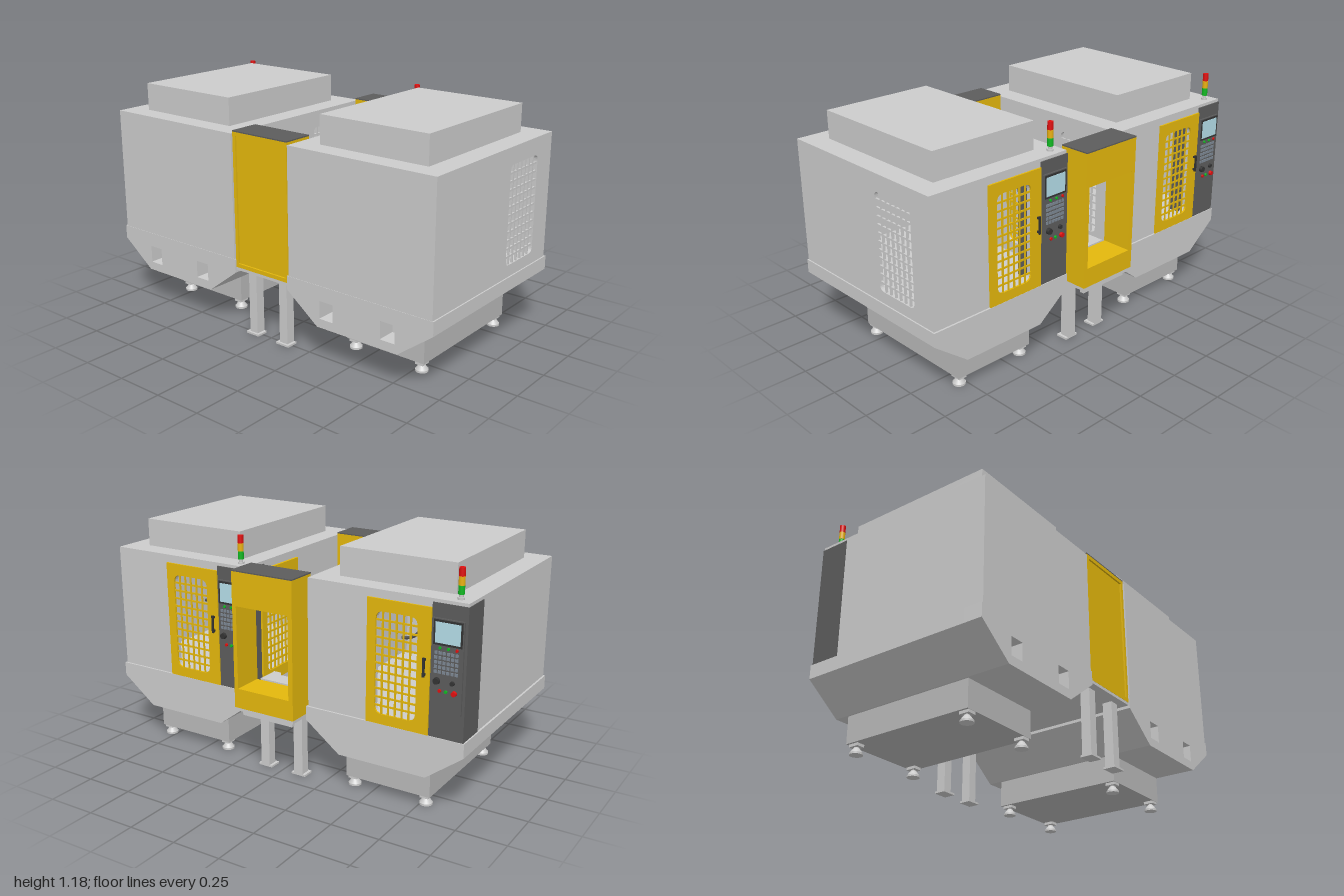
import * as THREE from 'three';

const paint = (color) => new THREE.MeshStandardMaterial({ color });
const grey = paint(0xcccccc), yellow = paint(0xe3b70c), dark = paint(0x5c5c5c), black = paint(0x333333);
const red = paint(0xe01010), green = paint(0x10b822), amber = paint(0xe8b010), glass = paint(0xb4dde8), keyBlue = paint(0x7d8894);

function add(parent, name, geo, mat) {
  const m = new THREE.Mesh(geo, mat);
  m.name = name;
  parent.add(m);
  return m;
}
// Box given by its extents
function box(parent, name, mat, x0, x1, y0, y1, z0, z1) {
  const m = add(parent, name, new THREE.BoxGeometry(x1 - x0, y1 - y0, z1 - z0), mat);
  m.position.set((x0 + x1) / 2, (y0 + y1) / 2, (z0 + z1) / 2);
  return m;
}
// Cylinder or cone between two points
function rod(parent, name, mat, a, b, r0, r1 = r0, sides = 24) {
  const p = new THREE.Vector3(...a), q = new THREE.Vector3(...b), d = q.clone().sub(p);
  const m = add(parent, name, new THREE.CylinderGeometry(r1, r0, d.length(), sides), mat);
  m.position.copy(p).add(q).multiplyScalar(0.5);
  m.quaternion.setFromUnitVectors(new THREE.Vector3(0, 1, 0), d.normalize());
  return m;
}
function roundRect(path, x0, x1, y0, y1, r) {
  path.moveTo(x0 + r, y0).lineTo(x1 - r, y0).quadraticCurveTo(x1, y0, x1, y0 + r)
    .lineTo(x1, y1 - r).quadraticCurveTo(x1, y1, x1 - r, y1)
    .lineTo(x0 + r, y1).quadraticCurveTo(x0, y1, x0, y1 - r)
    .lineTo(x0, y0 + r).quadraticCurveTo(x0, y0, x0 + r, y0);
  return path;
}
function rectShape(x0, x1, y0, y1) {
  return new THREE.Shape([[x0, y0], [x1, y0], [x1, y1], [x0, y1]].map((p) => new THREE.Vector2(...p)));
}
const extrude = (shape, depth) => new THREE.ExtrudeGeometry(shape, { depth, bevelEnabled: false, curveSegments: 6 });

// Upright plate in local xy with a window opening and optional lattice
function windowPlate(parent, name, mat, [x0, x1, y0, y1], [a, b, c, d], depth, r, lattice) {
  const g = new THREE.Group();
  g.name = name;
  parent.add(g);
  const shape = rectShape(x0, x1, y0, y1);
  shape.holes.push(roundRect(new THREE.Path(), a, b, c, d, r));
  add(g, name + 'Plate', extrude(shape, depth), mat);
  if (lattice) {
    const nx = Math.round((b - a) / 0.036), ny = Math.round((d - c) / 0.04), t = 0.0045;
    for (let i = 1; i < nx; i++) {
      const x = a + (b - a) * i / nx;
      box(g, 'latticeUpright', mat, x - t, x + t, c, d, depth * 0.3, depth * 0.8);
    }
    for (let j = 1; j < ny; j++) {
      const y = c + (d - c) * j / ny;
      box(g, 'latticeRail', mat, a, b, y - t, y + t, depth * 0.3, depth * 0.8);
    }
  }
  return g;
}

// Operator console on the +x side
function console_(m) {
  box(m, 'consoleCabinet', dark, 0.285, 0.443, 0.4, 1.025, 0.177, 0.348);
  box(m, 'consolePanel', dark, 0.443, 0.452, 0.53, 0.96, 0.19, 0.34);
  box(m, 'screenBezel', black, 0.452, 0.454, 0.84, 0.955, 0.196, 0.334);
  box(m, 'screen', glass, 0.453, 0.456, 0.85, 0.945, 0.205, 0.325);
  for (let i = 0; i < 6; i++) for (let j = 0; j < 5; j++) {
    const z = 0.212 + i * 0.02, y = 0.71 + j * 0.022;
    box(m, 'key', keyBlue, 0.452, 0.456, y, y + 0.014, z, z + 0.014);
  }
  [[red, 0.225, 0.63, 0.013], [red, 0.295, 0.63, 0.008], [green, 0.265, 0.63, 0.008], [black, 0.31, 0.675, 0.016],
    [black, 0.235, 0.675, 0.011], [green, 0.3, 0.828, 0.007], [green, 0.26, 0.828, 0.007], [red, 0.22, 0.828, 0.007]]
    .forEach(([c, z, y, r]) => rod(m, 'button', c, [0.45, y, z], [0.452 + r, y, z], r, r * 0.9, 16));
}

// One machine tool, in the place of the front one
function machine(name, innerDoor) {
  const m = new THREE.Group();
  m.name = name;
  // Skirt with sloping flanks, fork pockets at the rear end
  const profile = () => new THREE.Shape([[-1, 0.4], [-1, 0.33], [-0.815, 0.19], [-0.355, 0.19], [-0.17, 0.33], [-0.17, 0.4]]
    .map((p) => new THREE.Vector2(...p)));
  const end = profile();
  for (const z of [-0.76, -0.41]) end.holes.push(roundRect(new THREE.Path(), z - 0.04, z + 0.04, 0.235, 0.325, 0.002));
  for (const [part, shape, x, depth] of [['skirt', profile(), -0.47, 0.917], ['skirtRearEnd', end, -0.567, 0.097]]) {
    const s = add(m, part, extrude(shape, depth), grey);
    s.rotation.y = Math.PI / 2;
    s.position.x = x;
  }
  // Pedestal and levelling feet
  box(m, 'pedestal', paint(0xb8b8b8), -0.345, 0.375, 0.052, 0.19, 0.362, 0.813);
  for (const x of [-0.315, 0.34]) for (const z of [0.395, 0.783]) {
    rod(m, 'footDisc', grey, [x, 0, z], [x, 0.01, z], 0.032);
    rod(m, 'footCone', grey, [x, 0.01, z], [x, 0.034, z], 0.031, 0.014);
    rod(m, 'footStud', grey, [x, 0.03, z], [x, 0.054, z], 0.011);
    box(m, 'footPad', grey, x - 0.027, x + 0.027, 0.038, 0.054, z - 0.022, z + 0.022);
  }
  // Hollow enclosure
  const opening = [0.05, 0.305, 0.46, 0.953];
  windowPlate(m, 'frontWall', grey, [-0.565, 0.437, 0.4, 1.04], opening, 0.02, 0.03, true).position.z = 0.973;
  if (innerDoor) {
    windowPlate(m, 'innerWall', grey, [-0.565, 0.437, 0.4, 1.04], [0.045, 0.28, 0.46, 0.953], 0.02, 0.03, false).position.z = 0.18;
    windowPlate(m, 'innerDoor', yellow, [0, 0.322, 0.4, 1.0], [0.045, 0.28, 0.46, 0.953], 0.013, 0.03, true).position.z = 0.167;
  } else box(m, 'innerWall', grey, -0.565, 0.437, 0.4, 1.04, 0.18, 0.2);
  const side = windowPlate(m, 'sideWall', grey, [-0.973, -0.2, 0.4, 1.04], [-0.625, -0.415, 0.45, 0.943], 0.02, 0.04, false);
  const door = windowPlate(m, 'sideDoor', yellow, [-0.67, -0.35, 0.4, 1.0], [-0.625, -0.415, 0.45, 0.943], 0.01, 0.04, true);
  side.rotation.y = door.rotation.y = Math.PI / 2;
  side.position.x = 0.417;
  door.position.x = 0.436;
  box(m, 'rearWall', grey, -0.565, -0.545, 0.4, 1.04, 0.2, 0.973);
  box(m, 'roof', grey, -0.545, 0.417, 1.02, 1.04, 0.2, 0.973);
  box(m, 'roofHousing', grey, -0.46, 0.33, 1.04, 1.182, 0.288, 0.882);
  // Door handle
  box(m, 'doorHandle', black, 0.456, 0.464, 0.68, 0.77, 0.369, 0.379);
  for (const y of [0.69, 0.76]) box(m, 'handlePost', black, 0.444, 0.458, y - 0.005, y + 0.005, 0.369, 0.379);
  console_(m);
  // Coolant hose inside
  const hose = new THREE.QuadraticBezierCurve3(new THREE.Vector3(0.3, 1.02, 0.44), new THREE.Vector3(0.28, 0.78, 0.44), new THREE.Vector3(0.23, 0.76, 0.6));
  add(m, 'coolantHose', new THREE.TubeGeometry(hose, 20, 0.008, 8), dark);
  // Signal tower
  rod(m, 'signalBase', grey, [0.39, 1.04, 0.24], [0.39, 1.05, 0.24], 0.016);
  rod(m, 'signalPost', grey, [0.39, 1.05, 0.24], [0.39, 1.064, 0.24], 0.01);
  [green, amber, red].forEach((c, i) => rod(m, 'signalLamp', c, [0.39, 1.063 + i * 0.04, 0.24], [0.39, 1.102 + i * 0.04, 0.24], 0.0145));
  return m;
}

// Jointed handling arm
function robot() {
  const r = new THREE.Group();
  r.name = 'robotArm';
  box(r, 'riser', grey, -0.08, 0.06, 0.36, 0.465, -0.06, 0.06);
  box(r, 'base', grey, -0.095, 0.05, 0.465, 0.505, -0.068, 0.068);
  rod(r, 'waist', grey, [-0.015, 0.505, 0], [-0.015, 0.56, 0], 0.062, 0.045);
  rod(r, 'turret', grey, [-0.015, 0.56, 0], [-0.015, 0.6, 0], 0.05);
  rod(r, 'shoulder', grey, [-0.01, 0.62, -0.068], [-0.01, 0.62, 0.068], 0.045);
  rod(r, 'upperArm', grey, [-0.01, 0.62, 0], [-0.015, 0.76, 0], 0.038, 0.033);
  rod(r, 'elbow', grey, [-0.015, 0.765, -0.052], [-0.015, 0.765, 0.052], 0.045);
  rod(r, 'forearm', grey, [-0.03, 0.785, 0], [0.15, 0.785, 0], 0.036, 0.027);
  rod(r, 'wrist', grey, [0.165, 0.785, -0.033], [0.165, 0.785, 0.033], 0.03);
  rod(r, 'wristFlange', dark, [0.165, 0.785, 0], [0.22, 0.785, 0], 0.023);
  box(r, 'gripperBody', dark, 0.205, 0.228, 0.755, 0.82, -0.03, 0.03);
  for (const s of [-1, 1]) box(r, 'gripperFinger', black, 0.228, 0.265, 0.775, 0.795, s * 0.018 - 0.005, s * 0.018 + 0.005);
  return r;
}

// Loading cell between the machines
function cell() {
  const c = new THREE.Group();
  c.name = 'loadingCell';
  box(c, 'cellFloor', grey, -0.56, 0.56, 0.345, 0.36, -0.17, 0.172);
  const portal = windowPlate(c, 'portal', yellow, [-0.172, 0.17, 0.36, 1.05], [-0.15, 0.145, 0.46, 0.88], 0.16, 0.002, false);
  portal.rotation.y = Math.PI / 2;
  portal.position.x = 0.4;
  box(c, 'rearCabinet', yellow, -0.552, -0.4, 0.36, 1.05, -0.17, 0.172);
  const frame = windowPlate(c, 'rearFrame', yellow, [-0.172, 0.17, 0.36, 1.05], [-0.155, 0.153, 0.38, 1.03], 0.01, 0.002, false);
  frame.rotation.y = Math.PI / 2;
  frame.position.x = -0.561;
  box(c, 'portalCap', dark, 0.4, 0.561, 1.05, 1.056, -0.171, 0.173);
  box(c, 'rearCap', dark, -0.561, -0.4, 1.05, 1.056, -0.171, 0.173);
  // Notched workpiece tray
  const tray = new THREE.Shape([[0.28, -0.13], [0.4, -0.13], [0.4, 0.13], [0.28, 0.13], [0.28, 0.09], [0.31, 0.07], [0.31, -0.07], [0.28, -0.09]]
    .map((p) => new THREE.Vector2(...p)));
  const t = add(c, 'tray', extrude(tray, 0.01), grey);
  t.rotation.x = -Math.PI / 2;
  t.position.y = 0.458;
  for (const z of [-0.11, 0.11]) box(c, 'trayPost', grey, 0.37, 0.39, 0.36, 0.458, z - 0.01, z + 0.01);
  // Crossbar, legs and foot plates
  box(c, 'crossbar', grey, 0.51, 0.532, 0.314, 0.335, -0.145, 0.145);
  for (const z of [-0.1, 0.1]) {
    box(c, 'crossbarHanger', grey, 0.514, 0.528, 0.33, 0.35, z - 0.008, z + 0.008);
    for (const x of [-0.495, 0.39]) {
      box(c, 'leg', grey, x - 0.025, x + 0.025, 0.01, 0.345, z - 0.025, z + 0.025);
      box(c, 'legPlate', grey, x - 0.037, x + 0.025, 0, 0.01, z - 0.04, z + 0.04);
    }
  }
  c.add(robot());
  return c;
}

export function createModel() {
  const model = new THREE.Group();
  model.name = 'machiningCell';
  const back = machine('backMachine', false);
  back.position.z = -1.17;
  model.add(machine('frontMachine', true), back, cell());
  return model;
}
